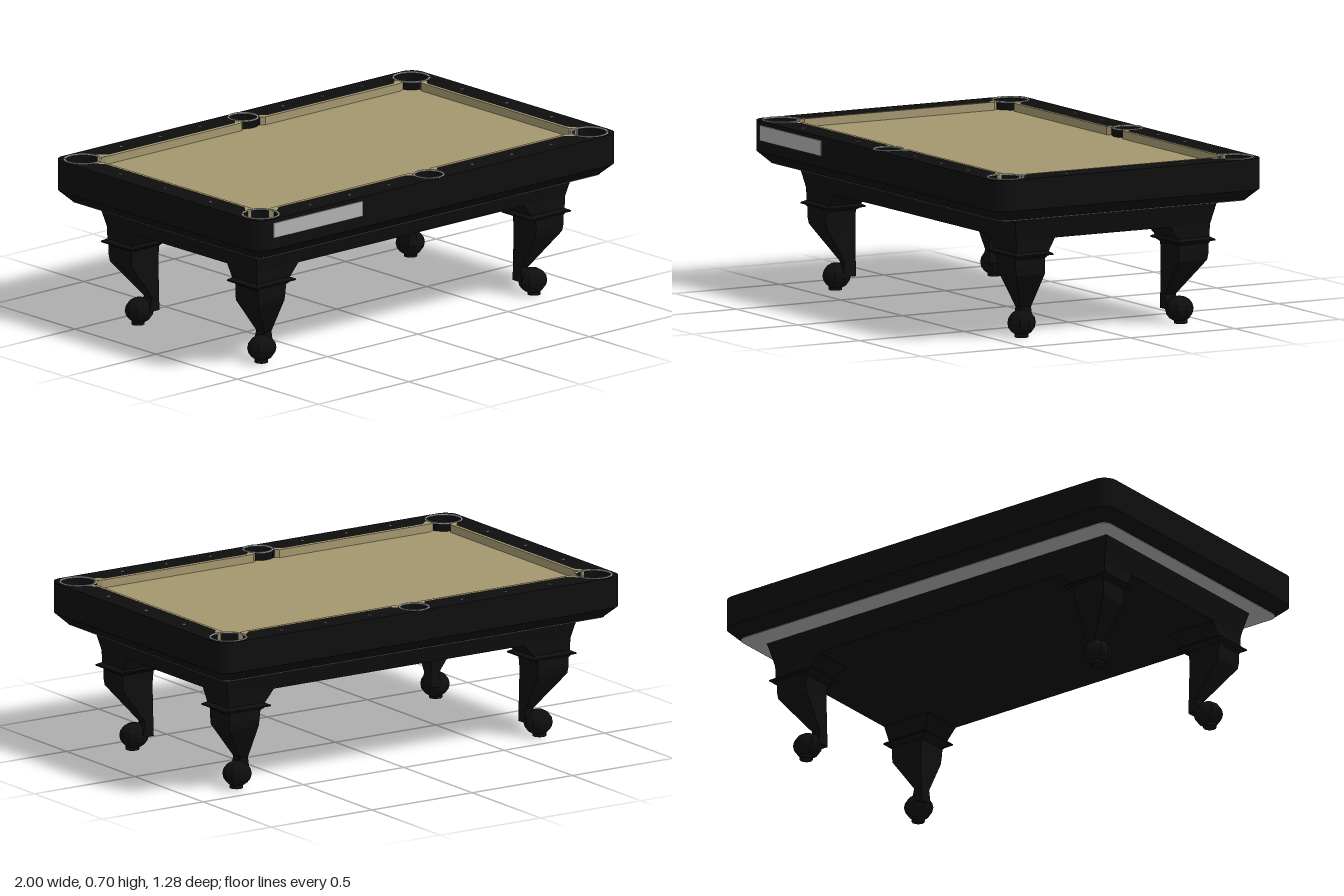
import * as THREE from 'three';

const black = new THREE.MeshStandardMaterial({ color: 0x0e0e0e });
black.name = 'blackWood';
const cloth = new THREE.MeshStandardMaterial({ color: 0xa4976f });
cloth.name = 'tanCloth';
const silver = new THREE.MeshStandardMaterial({ color: 0xb0b0b0 });
silver.name = 'silverTrim';

const W = 1, D = 0.638, TOP = 0.7;
const rad = THREE.MathUtils.degToRad;

function add(parent, name, geometry, material, x = 0, y = 0, z = 0) {
  const mesh = new THREE.Mesh(geometry, material);
  mesh.name = name;
  mesh.position.set(x, y, z);
  parent.add(mesh);
  return mesh;
}

// Closed solid through a stack of rings (bottom to top), each ring [[x, y, z], ...]
function loft(rings) {
  const pos = [], n = rings[0].length;
  const tri = (a, b, c) => pos.push(...a, ...b, ...c);
  for (let r = 0; r < rings.length - 1; r++) {
    const lo = rings[r], hi = rings[r + 1];
    for (let i = 0; i < n; i++) {
      const j = (i + 1) % n;
      tri(lo[i], lo[j], hi[j]);
      tri(lo[i], hi[j], hi[i]);
    }
  }
  const bottom = rings[0], top = rings[rings.length - 1];
  for (let i = 1; i < n - 1; i++) {
    tri(bottom[0], bottom[i + 1], bottom[i]);
    tri(top[0], top[i], top[i + 1]);
  }
  const g = new THREE.BufferGeometry();
  g.setAttribute('position', new THREE.Float32BufferAttribute(pos, 3));
  g.computeVertexNormals();
  return g;
}

function rect(y, xa, xb, za, zb) {
  const x0 = Math.min(xa, xb), x1 = Math.max(xa, xb);
  const z0 = Math.min(za, zb), z1 = Math.max(za, zb);
  return [[x1, y, z1], [x1, y, z0], [x0, y, z0], [x0, y, z1]];
}

function roundedRect(w, d, r) {
  const s = new THREE.Shape();
  s.absarc(w - r, d - r, r, 0, rad(90));
  s.absarc(r - w, d - r, r, rad(90), rad(180));
  s.absarc(r - w, r - d, r, rad(180), rad(270));
  s.absarc(w - r, r - d, r, rad(270), rad(360));
  return s;
}

const roundedRing = (y, w, d, r) =>
  roundedRect(w, d, r).getPoints(8).slice(0, -1).map(p => [p.x, y, -p.y]);

// Horizontal slab from a plan shape, growing upward
function slab(shape, height) {
  const g = new THREE.ExtrudeGeometry(shape, { depth: height, bevelEnabled: false, curveSegments: 20 });
  return g.rotateX(-Math.PI / 2);
}

const polygon = pts => new THREE.Shape(pts.map(p => new THREE.Vector2(p[0], p[1])));

// Pockets and the playing opening whose edge follows them
const CORNER = { x: 0.91, z: 0.548, r: 0.077 };
const SIDE = { x: 0, z: 0.572, r: 0.063 };
function opening(path, inward) {
  const c = CORNER, s = SIDE, a = 0.893, b = 0.522;
  const c0 = Math.atan2(-Math.sqrt(c.r ** 2 - (c.x - a) ** 2), a - c.x);
  const c1 = Math.atan2(b - c.z, -Math.sqrt(c.r ** 2 - (c.z - b) ** 2)) + 2 * Math.PI;
  const s0 = Math.atan2(b - s.z, Math.sqrt(s.r ** 2 - (s.z - b) ** 2));
  for (const k of [0, 1]) {
    const f = k ? -1 : 1, t = k * Math.PI;
    path.absarc(f * c.x, f * c.z, c.r, c0 + t, c1 + t, inward);
    path.absarc(0, f * s.z, s.r, s0 + t, Math.PI - s0 + t, inward);
    path.absarc(-f * c.x, f * c.z, c.r, Math.PI - c1 + t, Math.PI - c0 + t, inward);
  }
  path.closePath();
  return path;
}

function buildTop(table) {
  // Rail frame with pocket cut-outs, and the chamfered cabinet under it
  const frame = roundedRect(W, D, 0.06);
  frame.holes.push(opening(new THREE.Path(), false));
  add(table, 'railFrame', slab(frame, TOP - 0.57), black, 0, 0.57);
  add(table, 'cabinetChamfer', loft([
    roundedRing(0.525, W - 0.045, D - 0.048, 0.04), roundedRing(0.57, W, D, 0.06)]), black);
  add(table, 'undersidePlate', slab(roundedRect(W - 0.046, D - 0.049, 0.04), 0.004), silver, 0, 0.522);

  // Cloth bed
  add(table, 'clothBed', slab(opening(new THREE.Shape(), true), 0.03), cloth, 0, 0.637);

  // Cushions with angled jaws at the pockets
  const longPlan = [[0.064, 0.55], [0.088, 0.524], [0.79, 0.524], [0.826, 0.556],
    [0.848, 0.527], [0.815, 0.508], [0.065, 0.508], [0.048, 0.522]];
  const endHalf = [[0.893, 0.43], [0.922, 0.467], [0.9, 0.48], [0.88, 0.455]];
  const endPlan = [...endHalf, ...endHalf.slice().reverse().map(([x, z]) => [x, -z])];
  for (const sx of [1, -1]) {
    add(table, 'endCushion', slab(polygon(endPlan.map(([x, z]) => [sx * x, z])), 0.037), cloth, 0, 0.664);
    for (const sz of [1, -1])
      add(table, 'longCushion', slab(polygon(longPlan.map(([x, z]) => [sx * x, sz * z])), 0.037), cloth, 0, 0.664);
  }

  // Pocket linings and bright rims
  const pockets = [];
  for (const sz of [1, -1]) {
    pockets.push({ ...SIDE, z: sz * SIDE.z });
    for (const sx of [1, -1]) pockets.push({ x: sx * CORNER.x, z: sz * CORNER.z, r: CORNER.r });
  }
  const lining = [[0, -0.125], [0.85, -0.125], [0.97, -0.06], [0.99, 0.002]];
  for (const p of pockets) {
    const cup = new THREE.LatheGeometry(lining.map(([r, y]) => new THREE.Vector2(r * p.r, y)), 32);
    // The lathe's inside faces up into the pocket; its outside is seen as well
    const liningMaterial = black;
    liningMaterial.side = THREE.DoubleSide;
    add(table, 'pocketLining', cup, liningMaterial, p.x, TOP, p.z);
    add(table, 'pocketRim', new THREE.TorusGeometry(p.r - 0.002, 0.004, 6, 40).rotateX(Math.PI / 2),
      silver, p.x, TOP, p.z);
  }

  // Diamond sights on the rails
  const sight = (x, z, lx, lz) => add(table, 'railSight',
    new THREE.CylinderGeometry(1, 1, 0.003, 4).scale(lx, 1, lz), silver, x, TOP + 0.0005, z);
  for (const s of [1, -1]) {
    for (const x of [0.23, 0.449, 0.668])
      for (const sx of [1, -1]) sight(sx * x, s * 0.582, 0.007, 0.01);
    for (const z of [-0.277, 0, 0.277]) sight(s * 0.945, z, 0.01, 0.007);
  }

  // Blank plate on the front rail
  add(table, 'frontPlate', new THREE.BoxGeometry(0.493, 0.064, 0.008), silver, -0.676, 0.651, D + 0.002);
}

function buildLeg(sx, sz) {
  const leg = new THREE.Group();
  leg.name = 'leg';
  const ring = (y, x0, x1, z0, z1) => rect(y, sx * x0, sx * x1, sz * z0, sz * z1);
  add(leg, 'legBlock', loft([
    ring(0.36, 0.675, 0.851, 0.31, 0.461), ring(0.425, 0.62, 0.853, 0.275, 0.463)]), black);
  add(leg, 'legCollar', loft([
    ring(0.338, 0.69, 0.845, 0.32, 0.46), ring(0.348, 0.672, 0.852, 0.31, 0.466),
    ring(0.352, 0.65, 0.872, 0.297, 0.478), ring(0.358, 0.65, 0.872, 0.297, 0.478),
    ring(0.368, 0.675, 0.85, 0.312, 0.461)]), black);
  add(leg, 'legShaft', loft([
    ring(0.06, 0.69, 0.745, 0.32, 0.38), ring(0.12, 0.692, 0.73, 0.32, 0.372),
    ring(0.27, 0.696, 0.842, 0.32, 0.456), ring(0.3, 0.695, 0.845, 0.32, 0.461),
    ring(0.345, 0.69, 0.845, 0.32, 0.461)]), black);
  const ball = new THREE.SphereGeometry(1, 10, 8).toNonIndexed();
  ball.computeVertexNormals();
  add(leg, 'ballFoot', ball, black, sx * 0.75, 0.06, sz * 0.377).scale.set(0.061, 0.054, 0.06);
  add(leg, 'footPad', new THREE.CylinderGeometry(0.028, 0.028, 0.03, 12), black, sx * 0.755, 0.015, sz * 0.38);
  return leg;
}

export function createModel() {
  const table = new THREE.Group();
  table.name = 'billiardTable';
  buildTop(table);
  // Tapered apron between the legs
  add(table, 'apron', loft([
    rect(0.42, -0.853, 0.853, -0.463, 0.463), rect(0.526, -0.88, 0.88, -0.485, 0.485)]), black);
  for (const sx of [1, -1]) for (const sz of [1, -1]) table.add(buildLeg(sx, sz));
  table.position.z = -0.004;
  const model = new THREE.Group();
  model.name = 'model';
  model.add(table);
  return model;
}
